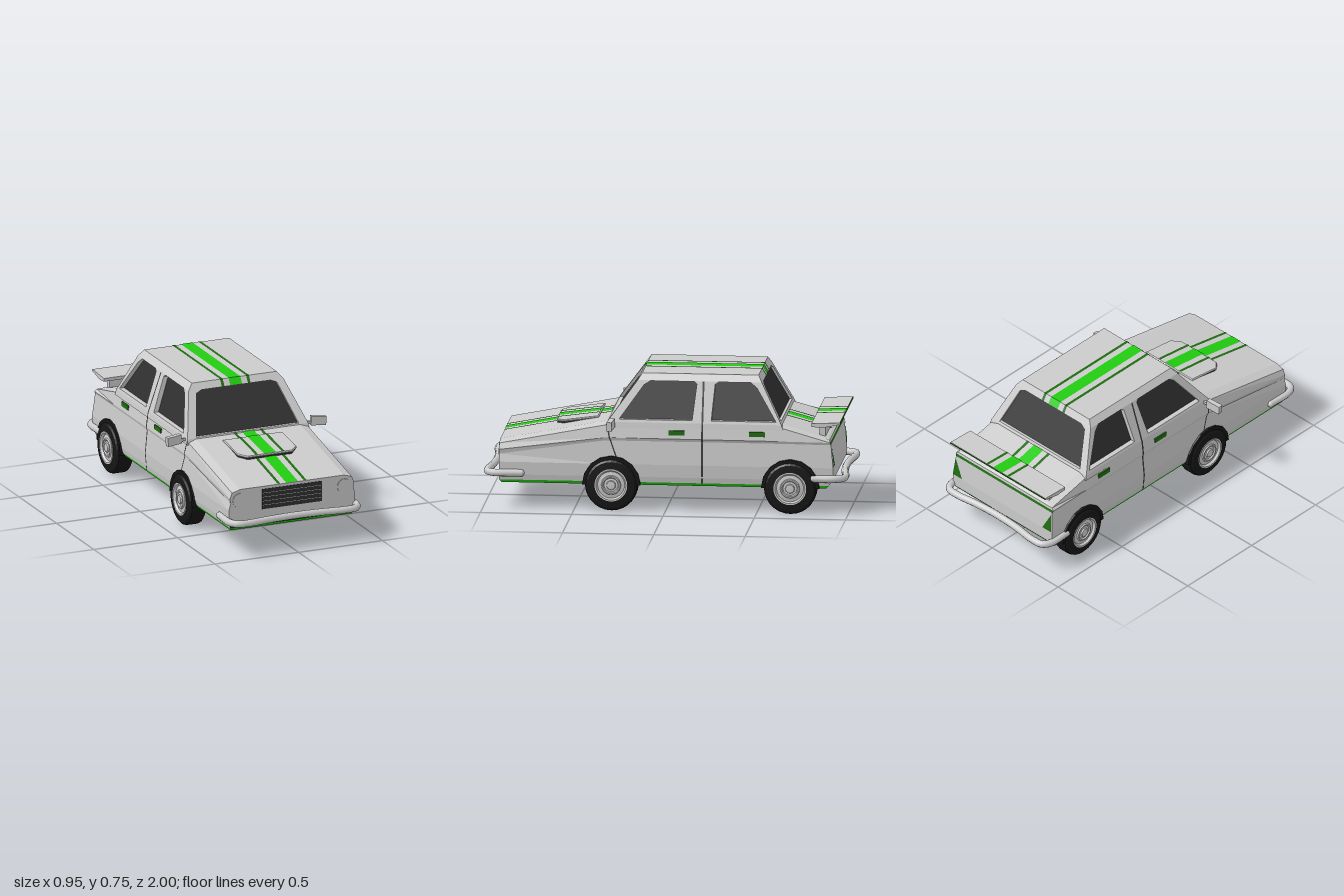
import * as THREE from 'three';

const paint = (color, flatShading = true) =>
  new THREE.MeshStandardMaterial({ color, flatShading, side: THREE.DoubleSide });
const grey = paint(0xcccccc), smoothGrey = paint(0xcccccc, false);
const black = paint(0x161616), glass = paint(0x303030), seam = paint(0x3a3a3a);
const green = paint(0x22cc11), darkGreen = paint(0x1f6b10);

const V = (x, y, z) => new THREE.Vector3(x, y, z);
const lerp = THREE.MathUtils.lerp;
const outline = pts => new THREE.Shape(pts.map(p => new THREE.Vector2(...p)));

export function createModel() {
  const car = new THREE.Group();
  car.name = 'car';

  const add = (name, geo, mat, parent = car) => {
    const m = new THREE.Mesh(geo, mat);
    m.name = name;
    parent.add(m);
    return m;
  };
  const box = (name, w, h, d, x, y, z, mat) => {
    const m = add(name, new THREE.BoxGeometry(w, h, d), mat);
    m.position.set(x, y, z);
    return m;
  };
  // surface made of four-cornered faces
  const quads = (name, list, mat) => {
    const pts = list.flatMap(([a, b, c, d]) => [a, b, c, a, c, d]);
    const g = new THREE.BufferGeometry().setFromPoints(pts);
    g.computeVertexNormals();
    return add(name, g, mat);
  };
  // thin band along a path, widened by the vector w
  const ribbon = (name, path, w, mat) => quads(name, path.slice(1).map((p, i) =>
    [path[i], path[i].clone().add(w), p.clone().add(w), p]), mat);
  // flat shape laid onto a sloping surface
  const panel = (name, shape, place, mat) => {
    const g = new THREE.ShapeGeometry(shape);
    const pos = g.attributes.position;
    for (let i = 0; i < pos.count; i++) pos.setXYZ(i, ...place(pos.getX(i), pos.getY(i), 0));
    g.computeVertexNormals();
    return add(name, g, mat);
  };
  const mirrored = half => [...half, ...half.slice().reverse().map(([x, y]) => [-x, y])];

  // Lower body: half sections [z, bonnet top, shoulder, groove top, groove bottom]
  const tailZ = [-0.885, -0.887, -0.9, -0.903, -0.907, -0.92, -0.92, -0.895, -0.88, -0.88];
  const sections = [
    [0.91, 0.375, 0.36, 0.327, 0.303],
    [0.33, 0.487, 0.472, 0.405, 0.388],
    [-0.64, 0.487, 0.472, 0.402, 0.388],
    [-0.9, 0.42, 0.413, 0.4, 0.386],
  ].map(([z, top, shoulder, g1, g2], s) => [
    [0, top], [0.31, top], [0.357, shoulder], [0.371, g1], [0.365, g2],
    [0.377, 0.26], [0.374, 0.19], [0.368, 0.16], [0.36, 0.144], [0, 0.144],
  ].map(([x, y], i) => V(x, y, s === 3 ? tailZ[i] : y < 0.15 ? z * 0.985 : z)));
  const flip = p => V(-p.x, p.y, p.z);
  const skin = (name, from, to, mat) => {
    const list = [];
    for (let s = 0; s < sections.length - 1; s++) {
      const A = sections[s], B = sections[s + 1];
      for (let i = from; i < to; i++) {
        const q = [A[i], A[i + 1], B[i + 1], B[i]];
        list.push(q, q.map(flip).reverse());
      }
    }
    quads(name, list, mat);
  };
  skin('bodyShell', 0, 7, grey);
  skin('sillStrip', 7, 8, green);
  skin('floor', 8, 9, black);

  // Nose and tail faces
  const endFace = (name, s, from, to, mat) => {
    const list = [];
    for (let i = from; i < to; i++) {
      const a = sections[s][i], b = sections[s][i + 1];
      const q = [a, flip(a), flip(b), b];
      list.push(s ? q.reverse() : q);
    }
    quads(name, list, mat);
  };
  endFace('nose', 0, 0, 6, grey);
  endFace('frontValance', 0, 6, 7, glass);
  endFace('frontLip', 0, 7, 8, green);
  endFace('tailTop', 3, 0, 3, grey);
  endFace('tailGroove', 3, 3, 4, darkGreen);
  endFace('tailPanel', 3, 4, 6, grey);
  endFace('rearValance', 3, 6, 8, green);

  // Cabin rim and roof: levels [y, half width, front z, rear z]
  const rings = [
    [0.46, 0.365, 0.33, -0.645], [0.49, 0.36, 0.32, -0.635],
    [0.71, 0.282, 0.16, -0.52], [0.745, 0.253, 0.137, -0.5],
  ].map(([y, w, f, r]) => [V(w, y, f), V(w, y, r), V(-w, y, r), V(-w, y, f)]);
  const roof = [rings[3]];
  for (const l of [0, 2]) for (let i = 0; i < 4; i++) {
    const j = (i + 1) % 4;
    roof.push([rings[l][i], rings[l][j], rings[l + 1][j], rings[l + 1][i]]);
  }
  quads('roof', roof, grey);

  // Cabin walls with recessed windows; place(u, v, d) sets a point d inside the wall
  const wall = (name, edge, windows, depth, place) => {
    const shape = outline(edge);
    for (const pts of windows) {
      shape.holes.push(outline(pts));
      panel(name + 'Glass', outline(pts), (u, v) => place(u, v, depth), glass);
      quads(name + 'Reveal', pts.map((p, i) => {
        const q = pts[(i + 1) % pts.length];
        return [V(...place(...p, 0)), V(...place(...q, 0)), V(...place(...q, depth)), V(...place(...p, depth))];
      }), grey);
    }
    panel(name + 'Frame', shape, place, grey);
  };
  const up = y => (y - 0.49) / 0.22;
  const endEdge = mirrored([[0.36, 0.49], [0.282, 0.71]]);
  wall('windscreen', endEdge, [mirrored([[0.305, 0.494], [0.24, 0.695], [0.205, 0.708]])], 0.02,
    (x, y, d) => [x, y, lerp(0.32, 0.16, up(y)) - d]);
  wall('rearWindow', endEdge, [mirrored([[0.305, 0.502], [0.245, 0.69], [0.21, 0.705]])], 0.015,
    (x, y, d) => [-x, y, lerp(-0.635, -0.52, up(y)) + d]);
  const sideEdge = [[0.32, 0.49], [0.16, 0.71], [-0.52, 0.71], [-0.635, 0.49]];
  const sideWindows = [
    [[0.255, 0.505], [0.125, 0.685], [0.09, 0.708], [-0.15, 0.708], [-0.165, 0.695], [-0.145, 0.505]],
    [[-0.25, 0.505], [-0.265, 0.695], [-0.285, 0.708], [-0.46, 0.708], [-0.495, 0.68], [-0.605, 0.505]],
  ];

  for (const s of [1, -1]) {
    wall('side', sideEdge, sideWindows, 0.028,
      (z, y, d) => [s * (lerp(0.36, 0.282, up(y)) - d), y, z]);

    // Door seams and handles
    ribbon('doorSeam', [[0.371, 0.16], [0.38, 0.26], [0.368, 0.387], [0.374, 0.402], [0.364, 0.485], [0.286, 0.71]]
      .map(([x, y]) => V(s * x, y, -0.207)), V(0, 0, 0.01), seam);
    ribbon('wingSeam', [[0.375, 0.3, 0.265], [0.368, 0.386, 0.295], [0.374, 0.405, 0.302], [0.362, 0.48, 0.315]]
      .map(([x, y, z]) => V(s * x, y, z)), V(0, 0, 0.008), seam);
    for (const z of [-0.062, -0.502])
      box('doorHandle', 0.012, 0.026, 0.087, s * 0.364, 0.437, z, darkGreen);

    // Door mirrors
    box('mirrorArm', 0.05, 0.014, 0.014, s * 0.37, 0.483, 0.29, grey);
    const mirror = box('mirror', 0.086, 0.05, 0.028, s * 0.431, 0.488, 0.293, grey);
    mirror.rotation.set(0, -s * 0.12, -s * 0.08);

    // Headlights and tail lights
    const lamp = add('headlight', new THREE.CylinderGeometry(0.042, 0.042, 0.02, 20).rotateX(Math.PI / 2), grey);
    lamp.position.set(s * 0.312, 0.312, 0.904);
    panel('tailLight', outline([[0.361, 0.372], [0.372, 0.265], [0.305, 0.265]]),
      (x, y) => [s * x, y, lerp(-0.923, -0.911, (y - 0.26) / 0.126)], darkGreen);

    // Wheels and arches
    for (const z of [0.295, -0.685]) {
      const arch = add('wheelArch', new THREE.CylinderGeometry(0.16, 0.16, 0.09, 8, 1, false, 0, Math.PI)
        .rotateZ(Math.PI / 2), black);
      arch.position.set(s * 0.341, 0.145, z);
      const wheel = new THREE.Group();
      wheel.name = 'wheel';
      wheel.position.set(s * 0.344, 0.145, z);
      wheel.rotation.y = s > 0 ? 0 : Math.PI;
      car.add(wheel);
      const lathe = (name, pts, mat) => add(name, new THREE.LatheGeometry(
        pts.map(p => new THREE.Vector2(...p)), 28).rotateZ(-Math.PI / 2), mat, wheel);
      lathe('tyre', [[0.086, -0.03], [0.09, -0.053], [0.128, -0.05], [0.141, -0.04], [0.145, -0.025],
        [0.145, 0.025], [0.141, 0.04], [0.128, 0.05], [0.09, 0.053], [0.086, 0.03]], black);
      const face = [[0.09, 0.045], [0.09, 0.055], [0.082, 0.055], [0.074, 0.042], [0.054, 0.046],
        [0.05, 0.053], [0.043, 0.053], [0.038, 0.046], [0.026, 0.048], [0.023, 0.056], [0, 0.057]];
      lathe('rim', face, grey);
      lathe('innerRim', face, grey).rotation.y = Math.PI;
    }
  }

  // Grille
  box('grille', 0.356, 0.115, 0.012, 0, 0.302, 0.906, glass);
  for (let i = 1; i < 5; i++) box('grilleBar', 0.356, 0.002, 0.006, 0, 0.245 + i * 0.023, 0.911, grey);

  // Bumpers wrapping round both ends
  for (const [name, e, tip] of [['frontBumper', 1, 0.79], ['rearBumper', -1, 0.81]]) {
    const half = [[0.15, 0.963], [0.28, 0.979], [0.35, 0.972], [0.378, 0.93], [0.378, tip]];
    const pts = [...half.slice().reverse().map(([x, z]) => [-x, z]), [0, 0.956], ...half]
      .map(([x, z]) => V(x, 0.2, e * z));
    add(name, new THREE.TubeGeometry(new THREE.CatmullRomCurve3(pts, false, 'centripetal'), 60, 0.02, 10), smoothGrey);
    for (const s of [1, -1])
      add(name + 'End', new THREE.SphereGeometry(0.02, 10, 8), smoothGrey).position.set(s * 0.378, 0.2, e * tip);
  }

  // Bonnet scoop: lid above a dark opening, sinking into the bonnet at the rear
  const scoop = new THREE.Group();
  scoop.name = 'bonnetScoop';
  scoop.position.set(0, 0.469, 0.5);
  scoop.rotation.x = 0.135;
  car.add(scoop);
  const slab = (name, k, top, depth, bevel, mat) => {
    const shape = outline(mirrored([[0.178, -0.118], [0.178, 0.075], [0.135, 0.12]])
      .map(([x, y]) => [x * k, y * k]));
    const g = new THREE.ExtrudeGeometry(shape, {
      depth: depth - 2 * bevel, bevelEnabled: bevel > 0, bevelThickness: bevel,
      bevelSize: bevel, bevelOffset: -bevel, bevelSegments: 1,
    }).rotateX(Math.PI / 2);
    add(name, g, mat, scoop).position.y = top - bevel;
  };
  slab('scoopLid', 1, 0, 0.012, 0.005, grey);
  slab('scoopOpening', 0.97, -0.01, 0.018, 0, glass);

  // Rear spoiler on its mount
  const wing = outline([[-0.8, 0.485], [-0.8, 0.503], [-0.955, 0.51], [-0.955, 0.5], [-0.86, 0.48]]);
  add('spoiler', new THREE.ExtrudeGeometry(wing, { depth: 0.72, bevelEnabled: false })
    .rotateY(-Math.PI / 2).translate(0.36, 0, 0), grey);
  box('spoilerEdge', 0.72, 0.006, 0.004, 0, 0.505, -0.956, darkGreen);
  box('spoilerMount', 0.62, 0.07, 0.035, 0, 0.45, -0.855, grey);

  // Racing stripes over bonnet, scoop, roof, boot and spoiler: [z, y]
  const runs = {
    bonnetStripe: [[0.91, 0.378], [0.335, 0.489], [0.322, 0.493]],
    scoopStripe: [[0.617, 0.456], [0.389, 0.487]],
    roofStripe: [[0.163, 0.711], [0.139, 0.747], [-0.502, 0.747], [-0.524, 0.71]],
    bootStripe: [[-0.637, 0.49], [-0.887, 0.423]],
    spoilerStripe: [[-0.8, 0.506], [-0.955, 0.513]],
  };
  for (const [name, path] of Object.entries(runs))
    for (const [x, w, mat] of [[-0.035, 0.07, green], [0.07, 0.016, darkGreen], [-0.086, 0.016, darkGreen]])
      ribbon(name, path.map(([z, y]) => V(x, y, z)), V(w, 0, 0), mat);

  return car;
}
